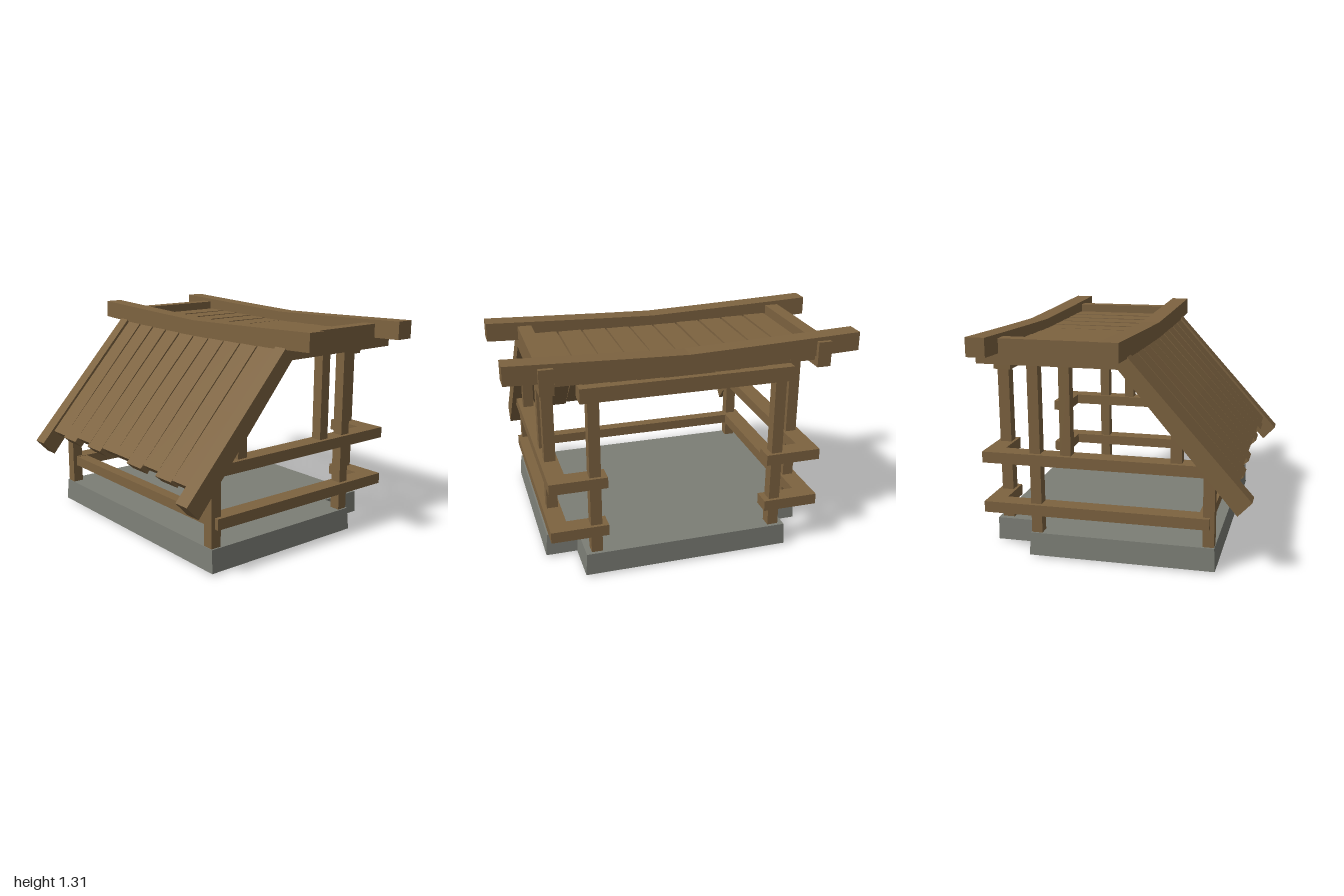
import * as THREE from 'three';

const wood = new THREE.MeshStandardMaterial({ color: 0x7d6340, flatShading: true });
const stone = new THREE.MeshStandardMaterial({ color: 0x7c7e76, flatShading: true });

export function createModel() {
  const root = new THREE.Group();
  root.name = 'openShelter';

  const add = (name, geometry, material = wood) => {
    const mesh = new THREE.Mesh(geometry, material);
    mesh.name = name;
    root.add(mesh);
    return mesh;
  };

  // Box given by its limits on each axis
  const bar = (name, [x0, x1], [y0, y1], [z0, z1]) => {
    const g = new THREE.BoxGeometry(x1 - x0, y1 - y0, Math.abs(z1 - z0));
    g.translate((x0 + x1) / 2, (y0 + y1) / 2, (z0 + z1) / 2);
    return add(name, g);
  };

  // Moves every vertex by a rule
  const deform = (g, rule) => {
    const p = g.attributes.position;
    const v = new THREE.Vector3();
    for (let i = 0; i < p.count; i++) {
      v.fromBufferAttribute(p, i);
      rule(v);
      p.setXYZ(i, v.x, v.y, v.z);
    }
    g.computeVertexNormals();
    return g;
  };

  // Extrudes a side profile, centred on z = 0
  const extrude = (points, depth) => {
    const shape = new THREE.Shape(points.map(([x, y]) => new THREE.Vector2(x, y)));
    return new THREE.ExtrudeGeometry(shape, { depth, bevelEnabled: false }).translate(0, 0, -depth / 2);
  };

  // Stone floor with notched front corners, slightly tapered upwards
  const floor = extrude([
    [-0.58, -0.795], [0.505, -0.795], [0.505, -0.61], [0.77, -0.61],
    [0.77, 0.61], [0.505, 0.61], [0.505, 0.795], [-0.58, 0.795],
  ], 0.135);
  floor.rotateX(-Math.PI / 2).translate(0, 0.0775, 0);
  deform(floor, (v) => {
    if (v.y > 0.1) {
      v.z *= 0.988;
      if (v.x < 0.6) v.x -= Math.sign(v.x) * 0.007;
    }
  });
  add('floorSlab', floor, stone);

  for (const s of [1, -1]) {
    const side = s > 0 ? 'left' : 'right';
    const zPost = [s * 0.71, s * 0.775];

    // Posts
    bar(side + 'FrontPost', [0.682, 0.75], [0, 1.075], [s * 0.505, s * 0.57]);
    bar(side + 'SidePost', [0.43, 0.493], [0.13, 1.15], zPost);
    bar(side + 'BackPost', [-0.57, -0.505], [0.13, 0.56], zPost);
    bar(side + 'UpperStud', [0.248, 0.31], [0.6, 1.15], zPost);
    bar(side + 'ShortStud', [-0.385, -0.322], [0.6, 0.82], zPost);

    // Rails that turn the front corner
    for (const [level, y, back] of [['Upper', [0.555, 0.62], -0.57], ['Lower', [0.255, 0.32], -0.545]]) {
      bar(side + level + 'SideRail', [back, 0.77], y, [s * 0.695, s * 0.8]);
      bar(side + level + 'FrontRail', [0.665, 0.77], y, [s * 0.47, s * 0.696]);
    }

    // Bent rafter, a little thicker at its foot
    const rafter = extrude([
      [-0.778, 0.445], [-0.7, 0.362], [-0.04, 1.135], [0.77, 1.135], [0.77, 1.28], [-0.025, 1.28],
    ], 0.08);
    deform(rafter, (v) => {
      if (v.x < -0.5) v.z *= 1.25;
      v.z += s * 0.78;
    });
    add(side + 'Rafter', rafter);
  }

  // Rear rail and front lintel
  bar('backRail', [-0.545, -0.475], [0.257, 0.318], [-0.7, 0.7]);
  bar('frontLintel', [0.655, 0.757], [1.065, 1.15], [-0.61, 0.61]);

  // Sagging roof beams
  for (const [name, x] of [['ridgeBeam', -0.037], ['frontBeam', 0.69]]) {
    const beam = new THREE.BoxGeometry(0.11, 0.107, 2, 1, 1, 6);
    deform(beam, (v) => {
      v.x += x;
      v.y += 1.222 + 0.035 * Math.abs(v.z) ** 1.1;
    });
    add(name, beam);
  }

  // Roof planks: sloped, then level, narrowed along the middle
  const footShift = [0.025, 0, 0.025, -0.005, 0.008];
  for (let i = 0; i < 10; i++) {
    const n = i < 5 ? 4 - i : i - 5;
    const z = (i - 4.5) * 0.147;
    const e = footShift[n];
    const sag = 0.012 * (1 - n / 4);
    const plank = extrude([
      [-0.7 + 0.667 * e, 0.51 + 0.745 * e], [-0.655 + 0.667 * e, 0.47 + 0.745 * e],
      [-0.34, 0.823], [-0.03, 1.17], [0.35, 1.17], [0.74, 1.17],
      [0.74, 1.23], [0.35, 1.23], [-0.057, 1.23], [-0.38, 0.868],
    ], 0.147);
    deform(plank, (v) => {
      const t = (v.x - 0.05) / 0.7;
      v.z = v.z * (1 - 0.09 * Math.max(0, 1 - t * t)) + z;
      if (v.y > 1) v.y -= sag;
    });
    add('roofPlank' + (i + 1), plank);
  }

  return root;
}
